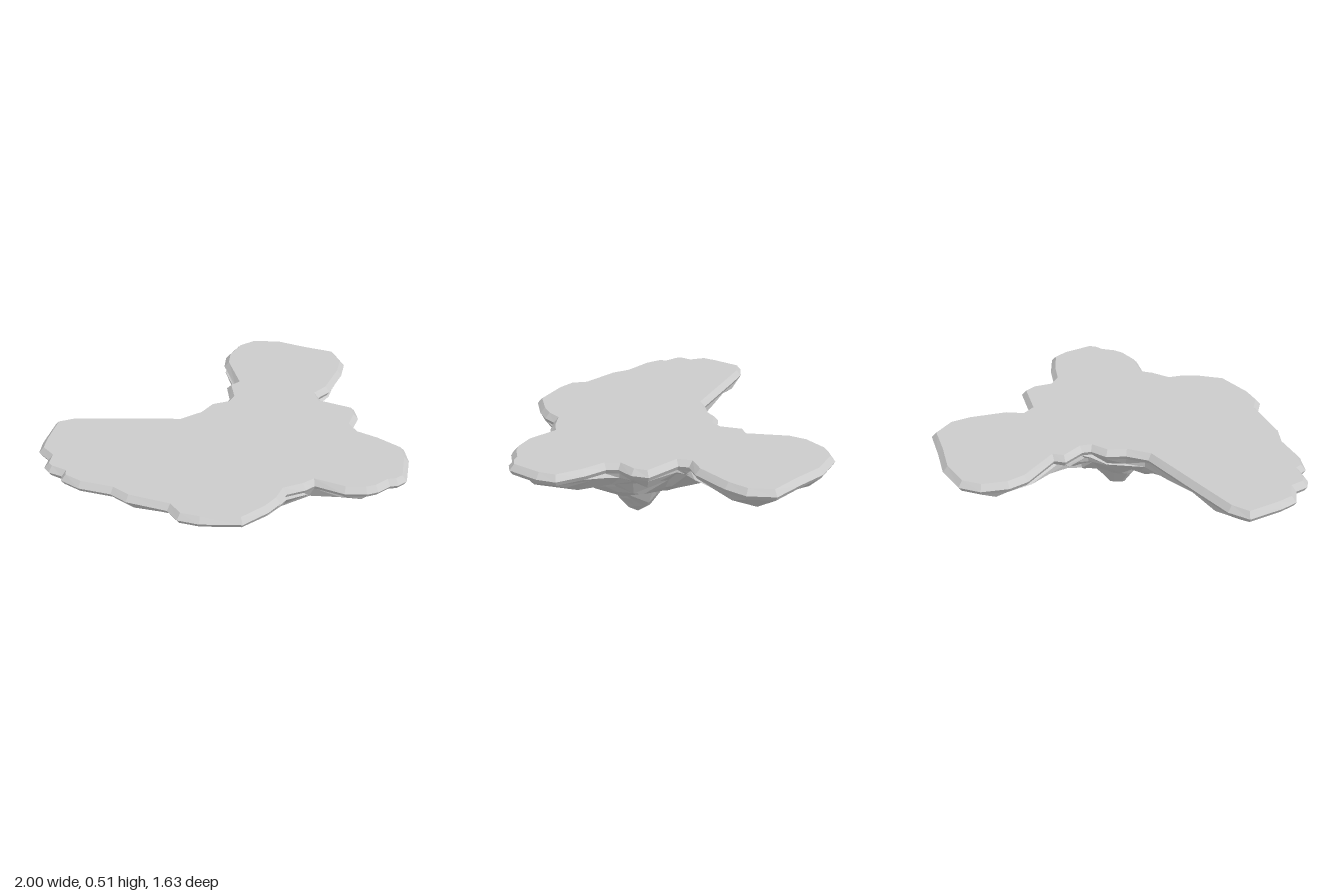
import * as THREE from 'three';

// Shore outline as x, z pairs, running left > back > right > front
const SHORE = [
  -1, -0.4, -0.95, -0.45, -0.96, -0.54, -0.9, -0.61, -0.76, -0.73, -0.65, -0.7, -0.5, -0.59, -0.34, -0.47,
  -0.18, -0.35, -0.06, -0.34, 0.04, -0.37, 0.13, -0.34, 0.17, -0.36, 0.23, -0.47, 0.29, -0.47, 0.36, -0.68,
  0.43, -0.76, 0.56, -0.82, 0.68, -0.81, 0.81, -0.7, 0.9, -0.55, 1, -0.4, 0.96, -0.26, 0.87, -0.18,
  0.69, -0.08, 0.6, -0.07, 0.58, -0.02, 0.68, 0.15, 0.64, 0.23, 0.56, 0.28, 0.55, 0.34, 0.6, 0.45,
  0.64, 0.6, 0.59, 0.69, 0.46, 0.81, 0.4, 0.81, 0.36, 0.79, 0.28, 0.79, 0.22, 0.77, 0.13, 0.7,
  0.05, 0.56, -0.01, 0.56, -0.11, 0.53, -0.18, 0.57, -0.27, 0.59, -0.43, 0.59, -0.6, 0.46, -0.67, 0.37,
  -0.67, 0.28, -0.8, 0.1, -0.83, 0, -0.94, -0.14, -0.98, -0.25, -0.96, -0.28, -1, -0.35,
];
const TIP = new THREE.Vector2(0.11, 0.1);
const TOP = 0.51, MIDDLE = 0.48, RIM = 0.455;

// Height of the rock against distance from the tip
const PROFILE = [[0, 0], [0.07, 0.05], [0.13, 0.14], [0.16, 0.19], [0.25, 0.22], [0.34, 0.27], [0.39, 0.33], [0.5, 0.355], [1.5, 0.37]];

function profileHeight(r) {
  const k = PROFILE.findIndex(p => p[0] >= r);
  if (k <= 0) return 0;
  const [r0, y0] = PROFILE[k - 1], [r1, y1] = PROFILE[k];
  return THREE.MathUtils.mapLinear(r, r0, r1, y0, y1);
}

// Repeatable noise from -1 to 1
function noise(a, b) {
  const s = Math.sin(a * 127.1 + b * 311.7) * 43758.5453;
  return 2 * (s - Math.floor(s)) - 1;
}

function shorePoints() {
  const pts = [];
  for (let i = 0; i < SHORE.length; i += 2) pts.push(new THREE.Vector2(SHORE[i], SHORE[i + 1]));
  return pts;
}

// Moves the outline inward along its corner normals
function inset(pts, amount) {
  const n = pts.length;
  return pts.map((p, i) => {
    const a = p.clone().sub(pts[(i + n - 1) % n]).normalize();
    const b = pts[(i + 1) % n].clone().sub(p).normalize();
    const d = a.add(b).normalize();
    return new THREE.Vector2(p.x - d.y * amount, p.y + d.x * amount);
  });
}

function shoreDistance(p, pts) {
  let best = Infinity;
  pts.forEach((a, i) => {
    const e = pts[(i + 1) % pts.length].clone().sub(a);
    const t = THREE.MathUtils.clamp(p.clone().sub(a).dot(e) / e.lengthSq(), 0, 1);
    best = Math.min(best, a.clone().addScaledVector(e, t).distanceTo(p));
  });
  return best;
}

const lift = (pts, y) => pts.map(p => new THREE.Vector3(p.x, y, p.y));

function addTriangle(out, a, b, c) {
  const area = b.clone().sub(a).cross(c.clone().sub(a)).length();
  if (area > 1e-7) for (const v of [a, b, c]) out.push(v.x, v.y, v.z);
}

// Skins the gaps between stacked rings, listed from top to bottom
function skin(rings) {
  const out = [], n = rings[0].length;
  for (let k = 0; k + 1 < rings.length; k++) {
    const up = rings[k], low = rings[k + 1];
    for (let i = 0; i < n; i++) {
      const j = (i + 1) % n;
      addTriangle(out, low[i], up[i], up[j]);
      addTriangle(out, low[i], up[j], low[j]);
    }
  }
  return out;
}

function mesh(name, positions) {
  const geometry = new THREE.BufferGeometry();
  geometry.setAttribute('position', new THREE.Float32BufferAttribute(positions, 3));
  geometry.computeVertexNormals();
  const m = new THREE.Mesh(geometry, new THREE.MeshStandardMaterial({ color: 0xcccccc, flatShading: true }));
  m.name = name;
  return m;
}

// One craggy ring; neighbouring rays share a vertex in groups, giving broad facets near the tip
function rockRing(shore, k, group, radiusOf) {
  const n = shore.length;
  return shore.map((_, i) => {
    const ray = (Math.round(i / group) * group) % n;
    const dir = shore[ray].clone().sub(TIP);
    const reach = dir.length();
    const r = radiusOf(reach) * (1 + 0.07 * noise(ray, k));
    const p = TIP.clone().addScaledVector(dir, r / reach);
    const slope = THREE.MathUtils.mapLinear(THREE.MathUtils.clamp(r, 0.4, 0.7), 0.4, 0.7, 1.1, 0.6);
    const edgeHeight = RIM - slope * shoreDistance(p, shore);
    const base = Math.max(profileHeight(r), edgeHeight);
    const y = base + 0.022 * noise(ray + 5, k + 9);
    return new THREE.Vector3(p.x, Math.min(Math.max(y, 0.02), RIM - 0.004), p.y);
  });
}

export function createModel() {
  const island = new THREE.Group();
  island.name = 'floatingIsland';

  const shore = shorePoints();
  const topEdge = inset(shore, 0.028);
  const rimEdge = inset(shore, 0.015);

  // Flat ground
  const ground = [];
  const corners = lift(topEdge, TOP);
  for (const [a, b, c] of THREE.ShapeUtils.triangulateShape(topEdge, [])) {
    const [p, q, r] = [corners[a], corners[b], corners[c]];
    const facesUp = q.clone().sub(p).cross(r.clone().sub(p)).y > 0;
    if (facesUp) addTriangle(ground, p, q, r);
    else addTriangle(ground, p, r, q);
  }
  island.add(mesh('ground', ground));

  // Bevelled rim
  const rim = lift(rimEdge, RIM);
  island.add(mesh('rim', skin([corners, lift(shore, MIDDLE), rim])));

  // Rocky underside, from the rim in to the hanging tip
  const rings = [rim];
  const core = 0.33;
  [0.86, 0.66, 0.44, 0.2].forEach((s, k) => {
    rings.push(rockRing(shore, k, k < 1 ? 1 : 2, reach => core + s * (reach - core)));
  });
  [0.33, 0.25, 0.165, 0.125, 0.065].forEach((r, k) => {
    rings.push(rockRing(shore, k + 4, k < 2 ? 3 : 5, () => r));
  });
  rings.push(shore.map(() => new THREE.Vector3(TIP.x, 0, TIP.y)));
  island.add(mesh('rockUnderside', skin(rings)));

  return island;
}
